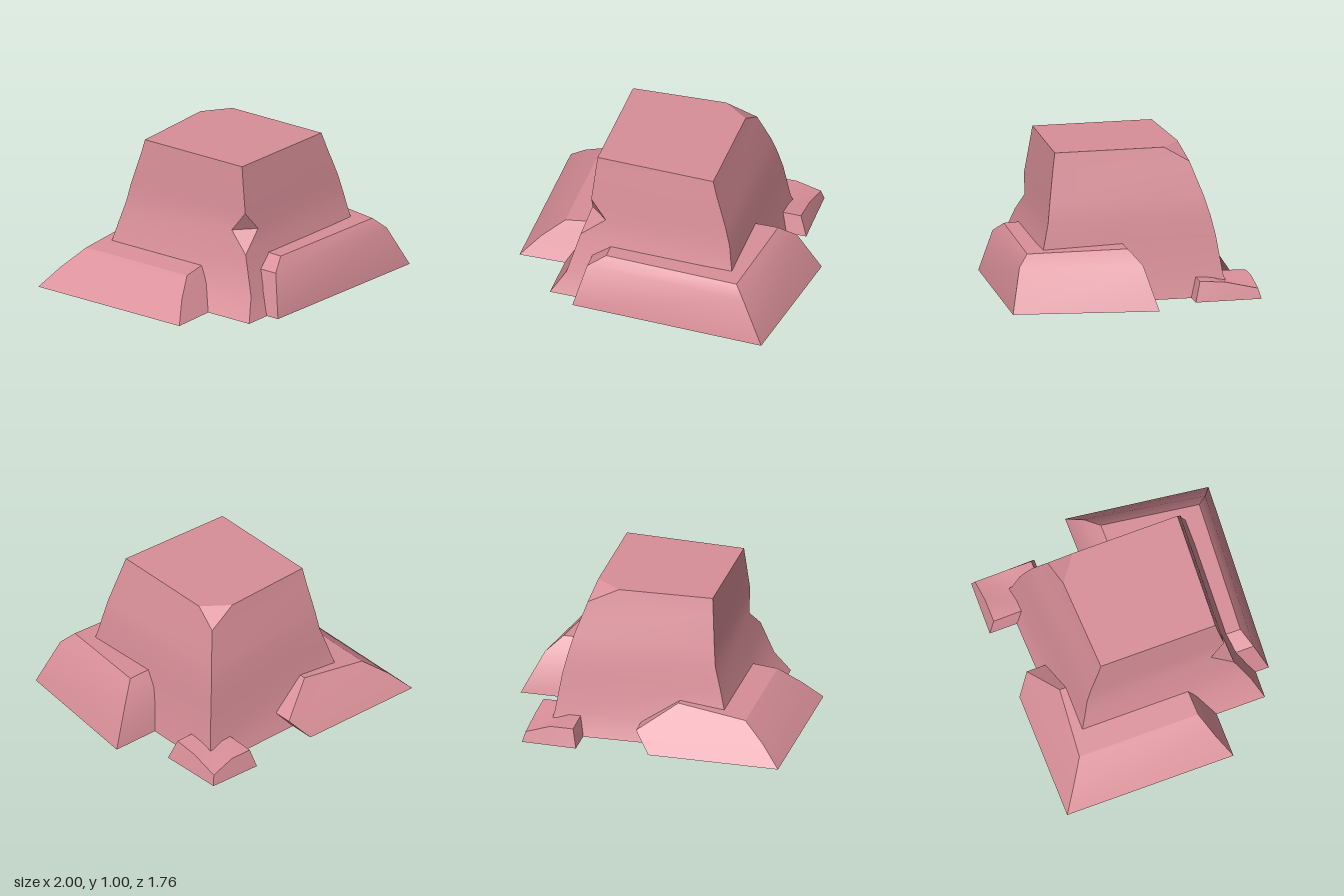
import * as THREE from 'three';
import { toCreasedNormals } from 'three/addons/utils/BufferGeometryUtils.js';

// Skins closed rings of [x, y, z] points, listed bottom to top and
// counter-clockwise from above, and caps both ends. Repeated points collapse.
function loft(rings) {
  const pos = [];
  const same = (a, b) => a.every((v, i) => v === b[i]);
  const tri = (a, b, c) => {
    if (!same(a, b) && !same(b, c) && !same(c, a)) pos.push(...a, ...b, ...c);
  };
  const n = rings[0].length;
  for (let r = 0; r < rings.length - 1; r++) {
    const lo = rings[r], hi = rings[r + 1];
    for (let i = 0; i < n; i++) {
      const j = (i + 1) % n;
      tri(lo[i], lo[j], hi[j]);
      tri(lo[i], hi[j], hi[i]);
    }
  }
  const base = rings[0], top = rings[rings.length - 1];
  for (let i = 1; i < n - 1; i++) {
    tri(top[0], top[i], top[i + 1]);
    tri(base[0], base[i + 1], base[i]);
  }
  const geometry = new THREE.BufferGeometry();
  geometry.setAttribute('position', new THREE.Float32BufferAttribute(pos, 3));
  return toCreasedNormals(geometry, 0.5);
}

// Level ring from [x, z] pairs
const level = (y, ...pts) => pts.map(([x, z]) => [x, y, z]);

// Body ring: the front right edge and back left edge each have two points,
// so that they can open into the notch and the cut corner
const bodyRing = (y, fr, fl, bl, br, frOpen = fr, blOpen = bl) =>
  level(y, fr, frOpen, fl, bl, blOpen, br);

export function createModel() {
  const group = new THREE.Group();
  group.name = 'rock';
  const stone = new THREE.MeshStandardMaterial({ color: 0xd98f99 });
  stone.name = 'pink stone';

  const add = (name, rings) => {
    const mesh = new THREE.Mesh(loft(rings), stone);
    mesh.name = name;
    group.add(mesh);
  };

  // Tall central block with a chipped edge and a cut top corner
  add('mainRock', [
    bodyRing(0, [-0.68, 0.70], [0.66, 0.74], [0.66, -0.69], [-0.68, -0.66]),
    bodyRing(0.15, [-0.58, 0.64], [0.62, 0.66], [0.62, -0.64], [-0.58, -0.60]),
    bodyRing(0.41, [-0.51, 0.54], [0.57, 0.59], [0.58, -0.60], [-0.51, -0.54]),
    bodyRing(0.545, [-0.47, 0.39], [0.55, 0.56], [0.55, -0.57], [-0.47, -0.51], [-0.34, 0.515]),
    bodyRing(0.68, [-0.45, 0.49], [0.515, 0.54], [0.515, -0.53], [-0.455, -0.48]),
    bodyRing(0.9, [-0.43, 0.455], [0.44, 0.50], [0.44, -0.45], [-0.43, -0.415]),
    bodyRing(1, [-0.42, 0.44], [0.41, 0.48], [0.41, -0.28], [-0.42, -0.39], [-0.42, 0.44], [0.23, -0.415]),
  ]);

  // Bevelled ledge around the front and left
  add('frontLedge', [
    level(0, [-0.49, 0.80], [0.87, 0.88], [1, -0.11], [-0.49, -0.11]),
    level(0.29, [-0.41, 0.72], [0.72, 0.80], [0.85, -0.03], [-0.41, -0.03]),
    [[-0.29, 0.365, 0.67], [0.65, 0.365, 0.73], [0.74, 0.385, 0.05], [-0.29, 0.385, 0.05]],
  ]);

  // Low sloping rock at the back right, undercut at its inner end
  add('sideRock', [
    level(0, [-1, 0.35], [-0.09, 0.35], [-0.09, -0.65], [-0.09, -0.855], [-1, -0.855]),
    level(0.13, [-0.87, 0.27], [0.02, 0.27], [0.02, -0.65], [0.02, -0.76], [-0.87, -0.76]),
    [[-0.72, 0.245, 0.20], [-0.24, 0.30, 0.18], [-0.24, 0.30, -0.5], [-0.24, 0.30, -0.62], [-0.72, 0.245, -0.66]],
  ]);

  // Small slab at the back left
  add('smallSlab', [
    level(0, [0.41, -0.41], [0.80, -0.41], [0.795, -0.62], [0.79, -0.87], [0.6, -0.875], [0.41, -0.88]),
    [[0.44, 0.14, -0.45], [0.75, 0.135, -0.45], [0.755, 0.12, -0.63], [0.77, 0.07, -0.85],
      [0.6, 0.125, -0.84], [0.44, 0.125, -0.84]],
  ]);

  return group;
}
